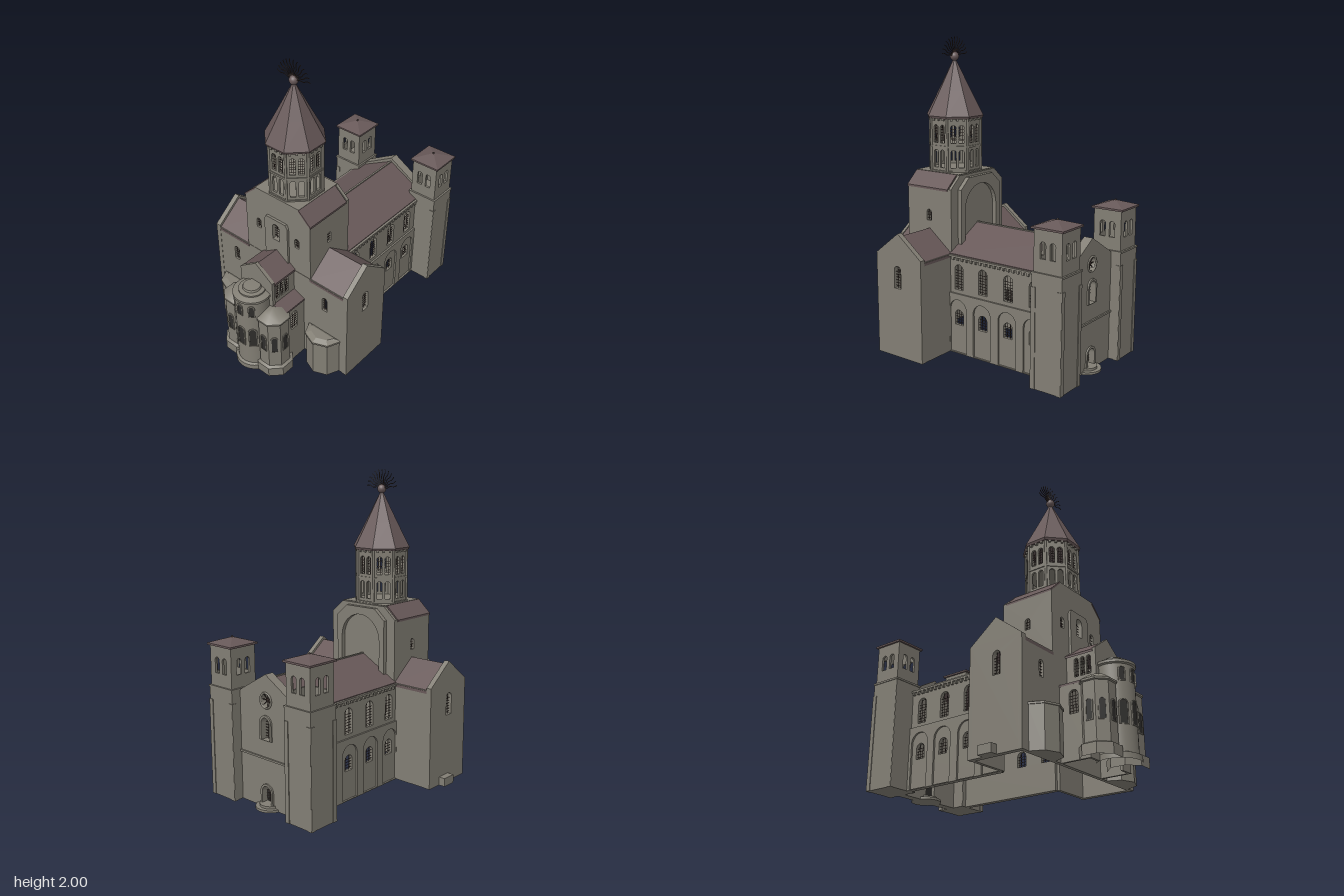
import * as THREE from 'three';
import { mergeGeometries, toCreasedNormals } from 'three/addons/utils/BufferGeometryUtils.js';

const mat = (name, color) => Object.assign(new THREE.MeshStandardMaterial({ color }), { name });

export function createModel() {
  const stone = mat('stone', 0x827e74), tile = mat('roof tile', 0x675858);
  const metal = mat('dark metal', 0x40332f), glass = mat('dark glass', 0x2e2d2b);
  const root = new THREE.Group();
  root.name = 'church';
  const church = new THREE.Group();
  church.name = 'building';
  church.position.x = 0.02;
  root.add(church);

  const add = (name, geo, m = stone, x = 0, y = 0, z = 0, ry = 0, parent = church) => {
    const mesh = new THREE.Mesh(geo, m);
    mesh.name = name;
    mesh.position.set(x, y, z);
    mesh.rotation.y = ry;
    parent.add(mesh);
    return mesh;
  };
  // Box given by its limits
  const box = (name, x0, x1, y0, y1, z0, z1, m = stone) =>
    add(name, new THREE.BoxGeometry(x1 - x0, y1 - y0, z1 - z0), m, (x0 + x1) / 2, (y0 + y1) / 2, (z0 + z1) / 2);
  const poly = pts => new THREE.Shape(pts.map(p => new THREE.Vector2(...p)));
  const rect = (u0, u1, v0, v1) => [[u0, v0], [u1, v0], [u1, v1], [u0, v1]];
  const extrude = (shape, depth, o = {}) => new THREE.ExtrudeGeometry(shape, { depth, bevelEnabled: false, curveSegments: 8, ...o });

  // Round-headed opening [u, v, width, height]
  const arch = ([u, v, w, h], P = THREE.Path) => {
    const p = new P();
    p.moveTo(u - w / 2, v);
    p.lineTo(u + w / 2, v);
    p.lineTo(u + w / 2, v + h - w / 2);
    p.absarc(u, v + h - w / 2, w / 2, 0, Math.PI, false);
    return p;
  };
  // Thin grille filling a round-headed opening
  const grille = (list, depth) => {
    const bars = [];
    for (const [u, v, w, h] of list) {
      for (const k of [-0.17, 0.17]) bars.push(new THREE.BoxGeometry(0.0025, h * 0.96, 0.0025).translate(u + k * w, v + h * 0.48, depth));
      for (let y = 0.015; y < h - w * 0.4; y += 0.018) bars.push(new THREE.BoxGeometry(w, 0.0025, 0.0025).translate(u, v + y, depth));
    }
    return mergeGeometries(bars);
  };
  // Wall with openings; turn = quarter turn for walls facing sideways
  const wall = (name, pts, holes, t, x, z, ry = 0, bars = true, parent = church) => {
    const s = poly(pts);
    s.holes = holes.map(h => arch(h));
    add(name, extrude(s, t), stone, x, 0, z, ry, parent);
    if (bars && holes.length) add(name + 'Grilles', grille(holes, t / 2), metal, x, 0, z, ry, parent);
  };
  // Pair of mirrored side walls; u runs along -z
  const sideWalls = (name, half, t, pts, holes, bars = true) => {
    for (const s of [1, -1]) wall(name, pts, holes, t, s > 0 ? half - t : -half, 0, Math.PI / 2, bars);
  };
  // Gabled roof shell, ridge along z by default
  const gable = (w, e, r, t) => poly([[-w, e], [-w, e - t], [0, r - t], [w, e - t], [w, e], [0, r]]);

  // Nave
  const bays = [-0.03, 0.16, 0.355, 0.545];
  sideWalls('naveWall', 0.28, 0.025, rect(-0.1, 0.71, 0, 0.645),
    bays.flatMap(u => [[u, 0.425, 0.068, 0.165], [u, 0.19, 0.066, 0.1]]));
  sideWalls('naveArcade', 0.292, 0.013, rect(-0.1, 0.64, 0, 0.4), bays.map(u => [u, 0.005, 0.135, 0.355]), false);
  add('naveRoof', extrude(gable(0.28, 0.655, 0.808, 0.02), 0.82), tile, 0, 0, -0.715);
  box('naveRidge', -0.006, 0.006, 0.8, 0.812, -0.71, 0.1);
  const corbels = [];
  for (const s of [1, -1]) for (let i = 0; i < 20; i++)
    corbels.push(new THREE.BoxGeometry(0.016, 0.022, 0.014).translate(s * 0.286, 0.63, 0.07 - i * 0.036));
  add('naveCorbels', mergeGeometries(corbels));
  for (const s of [1, -1]) box('naveCornice', s * 0.285 - 0.01, s * 0.285 + 0.01, 0.638, 0.65, -0.7, 0.1);

  // Rear facade with rose window, tall window and door
  const facade = poly([[-0.28, 0], [0.28, 0], [0.28, 0.67], [0, 0.835], [-0.28, 0.67]]);
  const openings = [[0, 0.43, 0.07, 0.14], [0, 0.03, 0.075, 0.11]];
  facade.holes = openings.map(h => arch(h));
  facade.holes.push(new THREE.Path().absarc(0, 0.675, 0.042, 0, Math.PI * 2));
  add('rearFacade', extrude(facade, 0.06), stone, 0, 0, -0.772);
  add('facadeGrilles', grille(openings, 0.03), metal, 0, 0, -0.772);
  add('roseFrame', new THREE.TorusGeometry(0.046, 0.007, 6, 24), stone, 0, 0.675, -0.772);
  add('roseHub', new THREE.TorusGeometry(0.014, 0.003, 5, 14), metal, 0, 0.675, -0.755);
  for (let i = 0; i < 4; i++) add('roseSpoke', new THREE.BoxGeometry(0.085, 0.004, 0.004), metal, 0, 0.675, -0.755).rotation.z = i * Math.PI / 4;
  for (const [u, v, w, h] of openings) {
    const frame = arch([u, v, w + 0.03, h + 0.015], THREE.Shape);
    frame.holes = [arch([u, v, w, h])];
    add('openingFrame', extrude(frame, 0.01), stone, 0, 0, -0.782);
  }
  box('facadeString', -0.23, 0.23, 0.31, 0.322, -0.782, -0.77);
  box('door', -0.037, 0.037, 0.03, 0.1, -0.74, -0.735, glass);
  [[0.095, 0.015, 0], [0.07, 0.015, 0.015]].forEach(([r, h, y]) =>
    add('doorStep', new THREE.CylinderGeometry(r, r, h, 28), stone, 0, y + h / 2, -0.745));

  // Bell towers
  for (const s of [1, -1]) {
    const g = new THREE.Group();
    g.name = 'bellTower';
    g.position.set(s * 0.33, 0, -0.735);
    church.add(g);
    add('towerShaft', new THREE.BoxGeometry(0.205, 0.7, 0.205), stone, 0, 0.35, 0, 0, g);
    add('towerLedge', new THREE.BoxGeometry(0.214, 0.012, 0.214), stone, 0, 0.703, 0, 0, g);
    for (let i = 0; i < 4; i++) {
      const face = new THREE.Group();
      face.name = 'belfrySide';
      face.rotation.y = i * Math.PI / 2;
      g.add(face);
      wall('belfryWall', rect(-0.095, 0.095, 0.7, 0.965), [[-0.033, 0.79, 0.038, 0.1], [0.033, 0.79, 0.038, 0.1]], 0.015, 0, 0.08, 0, false, face);
      for (const k of [-1, 1]) add('towerPilaster', new THREE.BoxGeometry(0.03, 0.62, 0.006), stone, k * 0.09, 0.31, 0.104, 0, face);
    }
    add('belfryEaves', new THREE.BoxGeometry(0.216, 0.012, 0.216), tile, 0, 0.966, 0, 0, g);
    add('belfryRoof', new THREE.ConeGeometry(0.153, 0.036, 4).toNonIndexed(), tile, 0, 0.99, 0, Math.PI / 4, g).geometry.computeVertexNormals();
    add('belfryKnob', new THREE.SphereGeometry(0.007, 8, 6), metal, 0, 1.008, 0, 0, g);
  }

  // Transept
  wall('transeptFront', rect(-0.565, 0.565, 0, 0.65), [[-0.383, 0.455, 0.04, 0.105], [0.383, 0.455, 0.04, 0.105]], 0.025, 0, 0.441);
  for (const s of [1, -1]) box('transeptBack', s * 0.42 - 0.145, s * 0.42 + 0.145, 0, 0.65, 0.098, 0.12);
  sideWalls('transeptEnd', 0.565, 0.035, [[-0.468, 0], [-0.095, 0], [-0.095, 0.665], [-0.283, 0.81], [-0.468, 0.665]], [[-0.29, 0.455, 0.055, 0.145]]);
  for (const s of [1, -1])
    add('transeptRoof', extrude(gable(0.185, 0.645, 0.79, 0.018), 0.275), tile, s > 0 ? 0.262 : -0.537, 0, 0.282, Math.PI / 2);
  box('sideStep', -0.61, -0.56, 0, 0.055, 0.2, 0.297);

  // Faceted chapels in front of the transept
  const chapel = poly([[-0.125, -0.46], [-0.087, -0.545], [0, -0.58], [0.087, -0.545], [0.125, -0.46]]);
  const eaves = poly([[-0.132, -0.46], [-0.092, -0.55], [0, -0.587], [0.092, -0.55], [0.132, -0.46]]);
  for (const s of [1, -1]) {
    const x = s * 0.383;
    add('chapelWall', extrude(chapel, 0.26).rotateX(-Math.PI / 2), stone, x);
    add('chapelEaves', extrude(eaves, 0.012).rotateX(-Math.PI / 2), stone, x, 0.258);
    add('chapelRoof', extrude(chapel, 0.004, { bevelEnabled: true, bevelThickness: 0.014, bevelSize: 0.03, bevelOffset: -0.03, bevelSegments: 1 }).rotateX(-Math.PI / 2), stone, x, 0.266);
  }

  // Crossing tower
  const crossing = [[-0.267, 0.645], [0.267, 0.645], [0.267, 1.06], [0.178, 1.138], [-0.178, 1.138], [-0.267, 1.06]];
  wall('crossingFront', crossing, [[-0.16, 0.84, 0.036, 0.07], [0, 0.83, 0.056, 0.12], [0.16, 0.84, 0.036, 0.07]], 0.02, 0, 0.444);
  wall('crossingBack', crossing, [], 0.02, 0, 0.1);
  sideWalls('crossingSide', 0.267, 0.02, rect(-0.464, -0.1, 0.645, 1.06), [[-0.285, 0.84, 0.036, 0.072]]);
  for (const s of [1, -1]) {
    const slope = poly([[s * 0.272, 1.058], [s * 0.178, 1.143], [s * 0.178, 1.13], [s * 0.272, 1.045]]);
    add('crossingRoof', extrude(slope, 0.338), tile, 0, 0, 0.128);
  }
  box('crossingTop', -0.18, 0.18, 1.13, 1.143, 0.11, 0.464);
  const panel = [[-0.095, 0.68], [0.095, 0.68], [0.095, 0.96], [0.08, 0.985], [-0.08, 0.985], [-0.095, 0.96]];
  wall('crossingPanel', panel, [[0, 0.83, 0.056, 0.12]], 0.016, 0, 0.464, 0, false);
  const rear = poly([[-0.2, 0.66], [0.2, 0.66], [0.2, 1.05], [0.12, 1.12], [-0.12, 1.12], [-0.2, 1.05]]);
  rear.holes = [arch([0, 0.68, 0.32, 0.39])];
  add('rearArch', extrude(rear, 0.035), stone, 0, 0, 0.072);

  // Octagonal lantern
  const lantern = new THREE.Group();
  lantern.name = 'lantern';
  lantern.position.z = 0.285;
  church.add(lantern);
  const oct = 1 / Math.cos(Math.PI / 8);
  const lights = [1.17, 1.33].flatMap(v => [-0.026, 0.026].map(u => [u, v, 0.034, 0.115]));
  for (let i = 0; i < 8; i++) {
    const face = new THREE.Group();
    face.name = 'lanternSide';
    face.rotation.y = i * Math.PI / 4;
    lantern.add(face);
    wall('lanternWall', rect(-0.066, 0.066, 1.14, 1.5), lights, 0.014, 0, 0.146, 0, false, face);
    add('lanternGrilles', grille(lights.slice(2), 0.15), metal, 0, 0, 0, 0, face);
    add('lanternColumn', new THREE.CylinderGeometry(0.008, 0.008, 0.36, 8), stone, 0.066, 1.32, 0.16, 0, face);
    for (let k = -1; k <= 1; k++) add('lanternCorbel', new THREE.BoxGeometry(0.014, 0.015, 0.012), stone, k * 0.04, 1.48, 0.166, 0, face);
  }
  const ring = (name, a0, a1, y0, y1, m) =>
    add(name, toCreasedNormals(new THREE.CylinderGeometry(a1 * oct, a0 * oct, y1 - y0, 8), 0.5), m, 0, (y0 + y1) / 2, 0, Math.PI / 8, lantern);
  ring('lanternBase', 0.168, 0.168, 1.14, 1.152, stone);
  ring('lanternString', 0.166, 0.166, 1.3, 1.312, stone);
  ring('spireEaves', 0.172, 0.178, 1.485, 1.5, tile);
  ring('spireLower', 0.178, 0.1, 1.5, 1.66, tile);
  ring('spireUpper', 0.1, 0.008, 1.66, 1.855, tile);
  add('finialBall', new THREE.SphereGeometry(0.029, 18, 12), tile, 0, 1.873, 0, 0, lantern);
  // Wavy rays fanned over the ball
  for (let i = 0; i < 13; i++) {
    const a = THREE.MathUtils.degToRad(10 + i * 160 / 12), pts = [];
    for (let k = 0; k <= 6; k++) {
      const r = 0.025 + k * 0.017, w = 0.004 * Math.sin(k * 1.7);
      pts.push(new THREE.Vector3(r * Math.cos(a) - w * Math.sin(a), r * Math.sin(a) + w * Math.cos(a), 0));
    }
    add('ray', new THREE.TubeGeometry(new THREE.CatmullRomCurve3(pts), 14, 0.0028, 5), metal, 0, 1.873, 0, 0, lantern);
  }

  // Choir with side aisles
  sideWalls('choirWall', 0.13, 0.015, rect(-0.65, -0.46, 0.44, 0.665), [-0.617, -0.575, -0.533].map(u => [u, 0.52, 0.03, 0.115]));
  add('choirRoof', extrude(gable(0.14, 0.66, 0.755, 0.015), 0.19), tile, 0, 0, 0.46);
  wall('choirGable', [[-0.135, 0.44], [0.135, 0.44], [0.135, 0.67], [0, 0.765], [-0.135, 0.67]], [], 0.022, 0, 0.647);
  sideWalls('aisleWall', 0.21, 0.015, rect(-0.66, -0.46, 0, 0.455), [[-0.56, 0.27, 0.06, 0.14]]);
  for (const s of [1, -1]) {
    add('aisleRoof', extrude(poly([[s * 0.215, 0.455], [s * 0.125, 0.495], [s * 0.125, 0.482], [s * 0.215, 0.442]]), 0.2), tile, 0, 0, 0.46);
    box('aisleFront', s * 0.165 - 0.045, s * 0.165 + 0.045, 0, 0.45, 0.645, 0.66);
  }

  // Round apse and faceted side apses with windows
  const apse = (name, x, z, profile, sides, radius, windows) => {
    const geo = new THREE.LatheGeometry(profile.map(p => new THREE.Vector2(...p)), sides);
    add(name, toCreasedNormals(geo, 0.5), stone, x, 0, z, Math.PI / sides);
    for (const [deg, v, w, h] of windows) {
      const a = THREE.MathUtils.degToRad(deg);
      const at = r => [x + r * Math.sin(a), 0, z + r * Math.cos(a), a];
      add(name + 'Window', new THREE.ShapeGeometry(arch([0, v, w, h], THREE.Shape)), glass, ...at(radius + 0.002));
      const frame = arch([0, v - 0.004, w + 0.012, h + 0.01], THREE.Shape);
      frame.holes = [arch([0, v, w, h])];
      add(name + 'WindowFrame', extrude(frame, 0.008), stone, ...at(radius - 0.003));
    }
  };
  apse('mainApse', 0, 0.71, [[0.13, 0], [0.13, 0.035], [0.113, 0.042], [0.113, 0.555], [0.123, 0.562], [0.123, 0.578],
    [0.085, 0.59], [0.085, 0.6], [0.06, 0.605], [0.055, 0.618], [0, 0.622]], 32, 0.113,
    [-40, 0, 40].flatMap(d => [[d, 0.455, 0.032, 0.08], [d, 0.2, 0.046, 0.14]]));
  for (const s of [1, -1])
    apse('sideApse', s * 0.145, 0.68, [[0.122, 0], [0.122, 0.065], [0.102, 0.075], [0.102, 0.425], [0.11, 0.43], [0.11, 0.442],
      [0.06, 0.475], [0, 0.49]], 8, 0.102 * Math.cos(Math.PI / 8), [[0, 0.2, 0.036, 0.12], [s * 45, 0.2, 0.036, 0.12], [s * 90, 0.2, 0.036, 0.12]]);

  return root;
}
